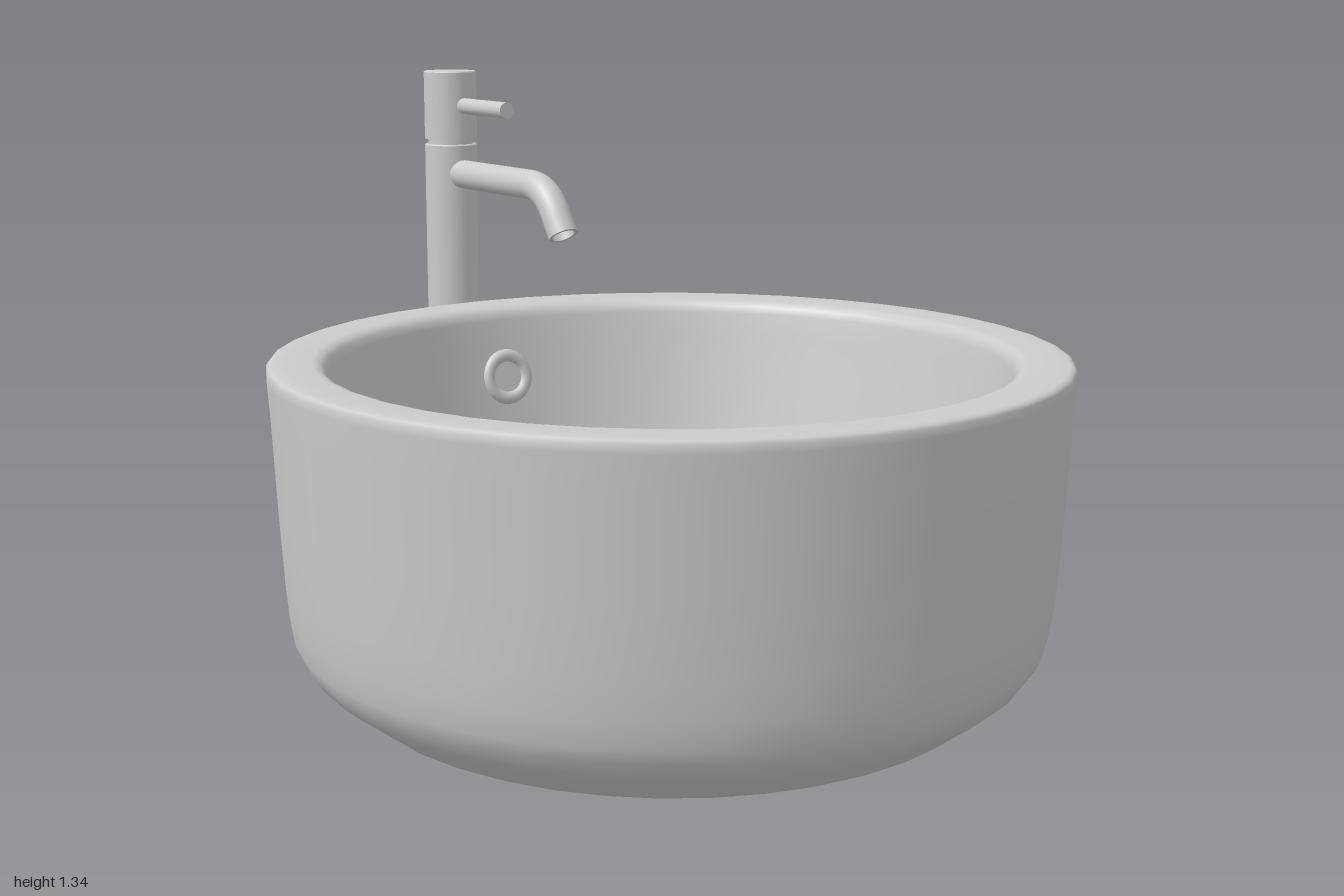
import * as THREE from 'three';

const material = new THREE.MeshStandardMaterial({ color: 0xcccccc, side: THREE.DoubleSide });
const vec2 = (pts) => pts.map(([r, y]) => new THREE.Vector2(r, y));

function add(parent, name, geometry, x = 0, y = 0, z = 0) {
  const mesh = new THREE.Mesh(geometry, material);
  mesh.name = name;
  mesh.position.set(x, y, z);
  parent.add(mesh);
  return mesh;
}

// Each profile is one smooth band; creases fall between bands
function turned(parent, name, profiles, segments = 32) {
  const group = new THREE.Group();
  group.name = name;
  profiles.forEach((p, i) => add(group, `${name}Band${i + 1}`, new THREE.LatheGeometry(vec2(p), segments)));
  parent.add(group);
  return group;
}

// Sharp-edged turned part: every straight run is its own band
const sharp = (pts) => pts.slice(1).map((p, i) => [pts[i], p]);

export function createModel() {
  const model = new THREE.Group();
  model.name = 'basinWithTap';

  // Basin: recessed base plate, foot ring, outer wall, rounded rim, tapered bowl
  const basin = turned(model, 'basin', [
    ...sharp([[0.24, 0.05], [0.6, 0.05]]),
    [[0.6, 0.05], [0.615, 0.025], [0.635, 0.007], [0.655, 0], [0.675, 0.002], [0.695, 0.012],
      [0.72, 0.032], [0.765, 0.066], [0.8, 0.095], [0.822, 0.128], [0.836, 0.16], [0.846, 0.22],
      [0.853, 0.3], [0.862, 0.45], [0.872, 0.66], [0.877, 0.735], [0.876, 0.752], [0.871, 0.759],
      [0.862, 0.762], [0.84, 0.762], [0.78, 0.761], [0.765, 0.757], [0.753, 0.747], [0.747, 0.73],
      [0.739, 0.68], [0.72, 0.58], [0.7, 0.475], [0.683, 0.39], [0.668, 0.335], [0.645, 0.292],
      [0.61, 0.266], [0.56, 0.255], [0.45, 0.25], [0.3, 0.246], [0.15, 0.242]],
    // Hollow underside with the waste hole
    ...sharp([[0.15, 0.242], [0.15, 0.2], [0.45, 0.2], [0.45, 0.05]]),
  ], 40);
  basin.position.z = 0.122;

  // Waste: flange with a flat plug cap
  const waste = new THREE.Group();
  waste.name = 'waste';
  waste.position.set(0, 0.242, 0.122);
  model.add(waste);
  turned(waste, 'wasteFlange', [
    [[0.165, 0], [0.164, 0.008], [0.158, 0.012], [0.14, 0.01], [0.12, 0.006]],
    [[0.12, 0.006], [0.12, -0.05]],
  ]);
  turned(waste, 'plugCap', [
    [[0.12, 0], [0.12, 0.014], [0.115, 0.019], [0.06, 0.022], [0, 0.023]],
    [[0, 0], [0.12, 0]],
  ]);

  // Overflow ring, leaning with the back of the bowl
  const overflow = new THREE.Group();
  overflow.name = 'overflow';
  overflow.position.set(-0.003, 0.59, -0.597);
  overflow.rotation.x = -0.19;
  model.add(overflow);
  add(overflow, 'overflowRing', new THREE.TorusGeometry(0.053, 0.016, 10, 28)).scale.z = 0.8;
  add(overflow, 'overflowBack', new THREE.CircleGeometry(0.045, 24), 0, 0, 0.002);

  // Tap
  const tap = new THREE.Group();
  tap.name = 'tap';
  tap.position.set(0.017, 0, -0.91);
  model.add(tap);

  // Base flange, hollow from below
  turned(tap, 'tapBase', [
    ...sharp([[0, 0.12], [0.063, 0.12], [0.063, 0.04], [0.074, 0.024], [0.084, 0.024]]),
    [[0.084, 0.024], [0.09, 0.028], [0.09, 0.042], [0.086, 0.047]],
    ...sharp([[0.086, 0.047], [0.066, 0.047]]),
  ]);

  // Column, neck groove and turning head
  turned(tap, 'tapColumn', sharp([[0.067, 0.04], [0.067, 1.147], [0.064, 1.15], [0.058, 1.15], [0.058, 1.163]]));
  turned(tap, 'tapHead', sharp([[0.058, 1.163], [0.067, 1.163], [0.067, 1.332], [0.064, 1.335], [0, 1.335]]));

  // Lever
  add(tap, 'lever', new THREE.CylinderGeometry(0.02, 0.02, 0.235, 20), 0.004, 1.248, 0.1675).rotation.x = Math.PI / 2;

  // Spout: straight run, bend and downturned mouth
  const path = new THREE.CurvePath();
  const a = new THREE.Vector3(0, 1.075, 0.04);
  const b = new THREE.Vector3(0.007, 1.075, 0.385);
  const c = new THREE.Vector3(0.011, 1.005, 0.507);
  const d = new THREE.Vector3(0.013, 0.964, 0.533);
  path.add(new THREE.LineCurve3(a, b));
  path.add(new THREE.CubicBezierCurve3(b, new THREE.Vector3(0.008, 1.075, 0.442), new THREE.Vector3(0.01, 1.055, 0.476), c));
  path.add(new THREE.LineCurve3(c, d));
  add(tap, 'spout', new THREE.TubeGeometry(path, 48, 0.036, 24));
  add(tap, 'spoutBore', new THREE.TubeGeometry(new THREE.LineCurve3(c, d), 1, 0.028, 24));

  // Mouth lip and recessed outlet
  const down = d.clone().sub(c).normalize();
  const face = (name, geometry, p) => {
    const mesh = add(tap, name, geometry, p.x, p.y, p.z);
    mesh.quaternion.setFromUnitVectors(new THREE.Vector3(0, 0, 1), down);
  };
  face('spoutLip', new THREE.RingGeometry(0.028, 0.036, 24), d);
  face('spoutOutlet', new THREE.CircleGeometry(0.028, 24), d.clone().addScaledVector(down, -0.02));

  return model;
}
